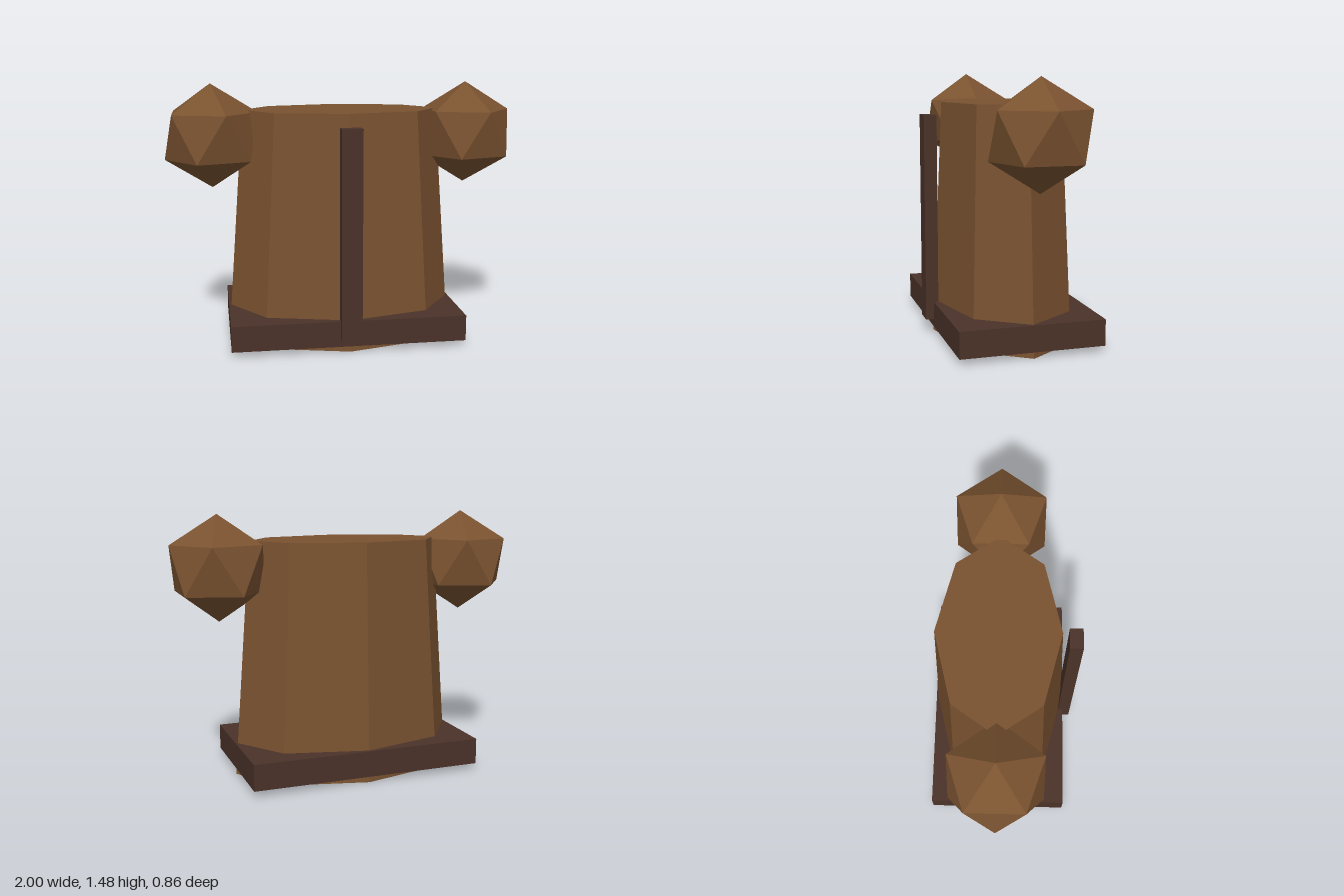
import * as THREE from 'three';

export function createModel() {
  const model = new THREE.Group();
  const cloth = new THREE.MeshStandardMaterial({ name: 'brown cloth', color: 0x7a5230, flatShading: true });
  const leather = new THREE.MeshStandardMaterial({ name: 'dark leather', color: 0x4a3228, flatShading: true });
  const midZ = -0.023;

  const add = (name, geometry, material, x, y, z) => {
    const mesh = new THREE.Mesh(geometry, material);
    mesh.name = name;
    mesh.position.set(x, y, z);
    model.add(mesh);
  };

  // Tapered eight-sided torso, flattened front to back
  const torso = new THREE.CylinderGeometry(0.562, 0.662, 1.325, 8);
  torso.scale(1, 1, 0.6);
  add('torso', torso, cloth, 0, 0.6625, midZ);

  // Belt around the hem and strip down the front
  add('belt', new THREE.BoxGeometry(1.324, 0.147, 0.81), leather, 0, 0.1075, midZ);
  add('frontStrip', new THREE.BoxGeometry(0.115, 1.176, 0.073), leather, 0, 0.667, 0.391);

  // Faceted shoulder puffs, each turned to stand on a corner
  for (const [name, side] of [['leftShoulder', 1], ['rightShoulder', -1]]) {
    const puff = new THREE.IcosahedronGeometry(0.294, 0);
    puff.rotateZ(-Math.atan(2 / (1 + Math.sqrt(5))));
    add(name, puff, cloth, side * 0.737, 1.181, midZ);
  }

  return model;
}
